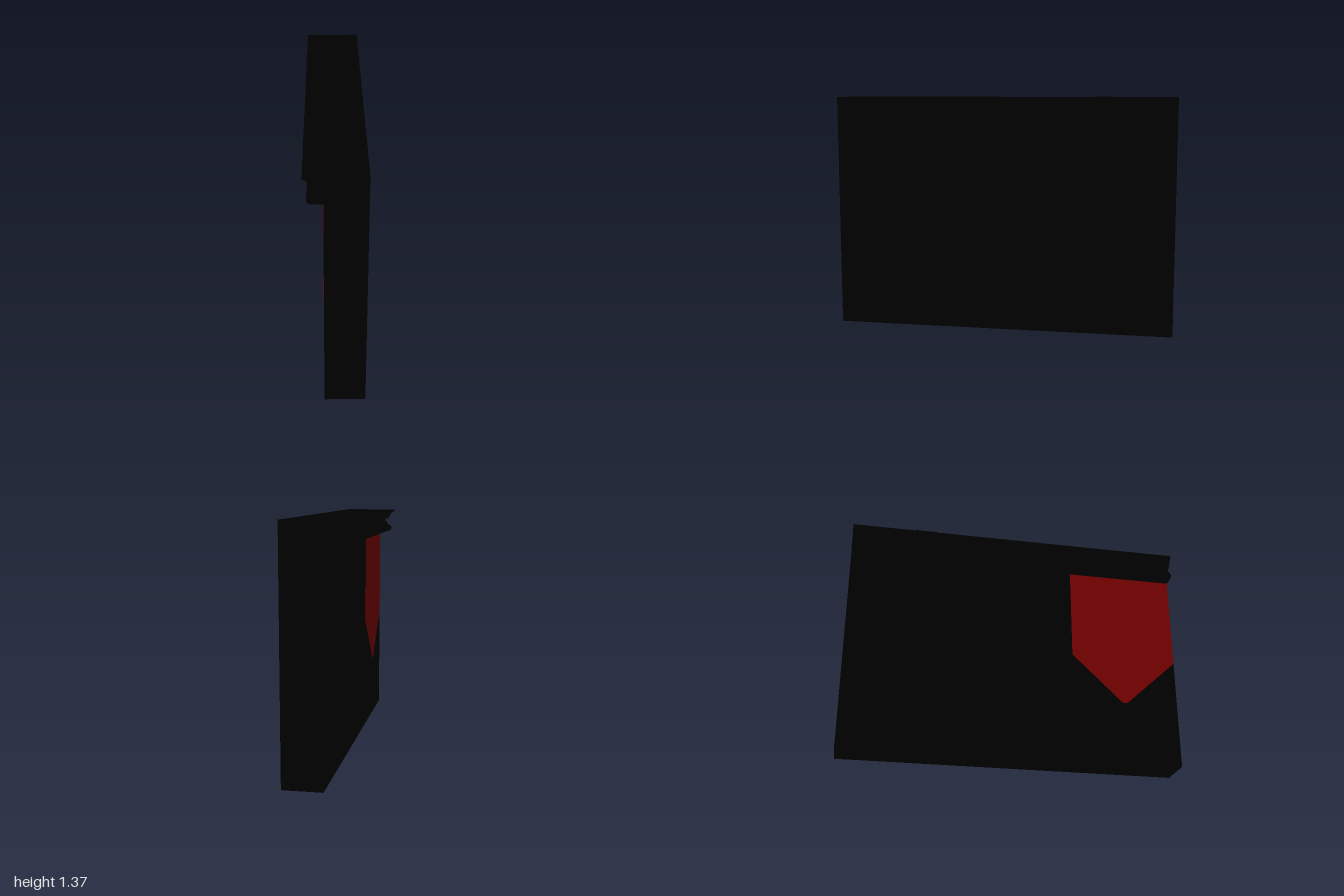
import * as THREE from 'three';

const black = new THREE.MeshStandardMaterial({ color: 0x000000 });
black.name = 'black';
const darkRed = new THREE.MeshStandardMaterial({ color: 0x7c0000 });
darkRed.name = 'dark red';

const LENGTH = 2, HEIGHT = 1.37, WALL_FACE = -0.06, WALL_BACK = 0.162;

function addMesh(group, name, geometry, material) {
  const mesh = new THREE.Mesh(geometry, material);
  mesh.name = name;
  group.add(mesh);
  return mesh;
}

// Closed outline extruded to a plain prism
function prism(points, depth) {
  const shape = new THREE.Shape(points.map(([x, y]) => new THREE.Vector2(x, y)));
  return new THREE.ExtrudeGeometry(shape, { depth, bevelEnabled: false });
}

export function createModel() {
  const group = new THREE.Group();
  group.name = 'wallWithCornice';

  // Plain wall slab
  const wall = addMesh(group, 'wall',
    new THREE.BoxGeometry(WALL_BACK - WALL_FACE, HEIGHT, LENGTH), black);
  wall.position.set((WALL_FACE + WALL_BACK) / 2, HEIGHT / 2, 0);

  // Moulded cornice running the full length: lip, hollow and rounded lower bead
  const profile = [
    [WALL_FACE, 1.224], [-0.125, 1.224], [-0.137, 1.23], [-0.142, 1.242],
    [-0.14, 1.252], [-0.134, 1.258], [-0.122, 1.264], [-0.112, 1.279],
    [-0.099, 1.294], [-0.099, 1.303], [-0.117, 1.31], [-0.128, 1.322],
    [-0.137, 1.343], [-0.144, 1.35], [-0.16, 1.358], [-0.161, HEIGHT],
    [WALL_FACE, HEIGHT],
  ];
  const cornice = addMesh(group, 'cornice', prism(profile, LENGTH), black);
  cornice.position.z = -LENGTH / 2;

  // Small raised chip on the cornice lip
  const chip = addMesh(group, 'corniceChip', new THREE.BoxGeometry(0.004, 0.012, 0.13), black);
  chip.position.set(-0.161, 1.366, -0.56);

  // Pointed banner painted on the wall face below the cornice
  const outline = [
    [0.36, 1.224], [0.36, 0.67], [0.66, 0.378], [0.69, 0.378], [1, 0.66], [1, 1.224],
  ];
  const banner = addMesh(group, 'banner', prism(outline, 0.001).rotateY(-Math.PI / 2), darkRed);
  banner.position.x = WALL_FACE;

  return group;
}
